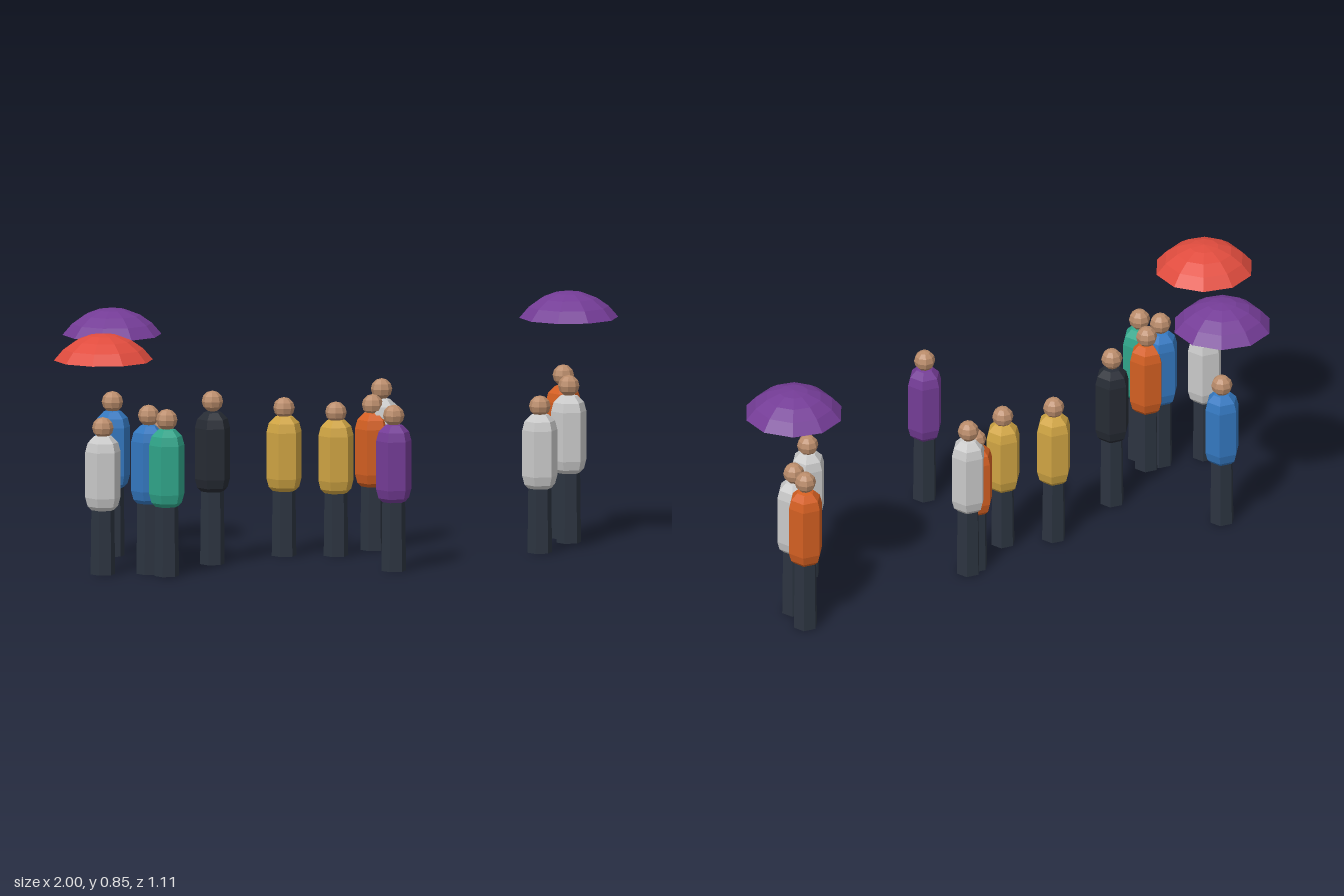
import * as THREE from 'three';

const COLOURS = {
  skin: 0xba8c6b, trousers: 0x2c3440, grey: 0xcacaca, orange: 0xd35f22, blue: 0x3478c0,
  teal: 0x30a58a, purple: 0x743c96, yellow: 0xcfa443, black: 0x262b34, red: 0xe04c3e,
};

// x, z, total height, coat colour
const PEOPLE = [
  [-0.835, -0.09, 0.53, 'grey'],
  [-0.71, 0.0, 0.57, 'blue'],
  [-0.70, 0.08, 0.563, 'teal'],
  [-0.66, 0.02, 0.535, 'orange'],
  [-0.52, -0.40, 0.555, 'blue'],
  [-0.40, -0.03, 0.585, 'black'],
  [-0.09, -0.02, 0.535, 'yellow'],
  [-0.05, 0.49, 0.56, 'purple'],
  [0.04, 0.095, 0.52, 'yellow'],
  [0.225, 0.07, 0.525, 'orange'],
  [0.265, 0.07, 0.575, 'grey'],
  [0.60, 0.49, 0.53, 'grey'],
  [0.83, 0.375, 0.565, 'grey'],
  [0.885, 0.285, 0.586, 'orange'],
];

// x, rim height, z, colour
const UMBRELLAS = [
  [-0.833, 0.723, -0.09, 'red'],
  [-0.522, 0.747, -0.40, 'purple'],
  [0.83, 0.76, 0.375, 'purple'],
];

const HEAD_RADIUS = 0.036;
const DOME_RADIUS = 0.2;
const DOME_ANGLE = Math.PI / 3.2;

export function createModel() {
  const crowd = new THREE.Group();
  crowd.name = 'crowd';

  const materials = {};
  for (const [name, color] of Object.entries(COLOURS)) {
    materials[name] = new THREE.MeshStandardMaterial({ color, flatShading: true });
    materials[name].name = name;
  }
  // The canopies are open shells, seen from below as well
  materials.red.side = materials.purple.side = THREE.DoubleSide;

  const add = (parent, name, geometry, material, x, y, z) => {
    const mesh = new THREE.Mesh(geometry, materials[material]);
    mesh.name = name;
    mesh.position.set(x, y, z);
    parent.add(mesh);
    return mesh;
  };

  // Six-sided coat with bevelled ends, as radius and height pairs
  const coatProfile = (low, high) => [
    [0, low - 0.06], [0.03, low - 0.052], [0.052, low - 0.03], [0.06, low],
    [0.06, high], [0.052, high + 0.03], [0.03, high + 0.052], [0, high + 0.06],
  ].map(([r, y]) => new THREE.Vector2(r, y));

  const headGeometry = new THREE.SphereGeometry(HEAD_RADIUS, 8, 6);

  // People: only the heights vary, the girth stays the same
  for (const [x, z, height, coat] of PEOPLE) {
    const person = new THREE.Group();
    person.name = 'person';
    person.position.set(x, 0, z);
    const s = (height - HEAD_RADIUS) / 0.55;
    const legHeight = 0.25 * s;
    add(person, 'legs', new THREE.CylinderGeometry(0.039, 0.042, legHeight, 6), 'trousers', 0, legHeight / 2, 0);
    add(person, 'coat', new THREE.LatheGeometry(coatProfile(0.289 * s, 0.461 * s), 6), coat, 0, 0, 0);
    add(person, 'head', headGeometry, 'skin', 0, 0.55 * s, 0);
    crowd.add(person);
  }

  // Floating umbrella canopies
  const canopy = new THREE.SphereGeometry(DOME_RADIUS, 10, 4, 0, Math.PI * 2, 0, DOME_ANGLE);
  canopy.translate(0, -DOME_RADIUS * Math.cos(DOME_ANGLE), 0);
  for (const [x, y, z, colour] of UMBRELLAS) add(crowd, 'umbrella', canopy, colour, x, y, z);

  return crowd;
}
